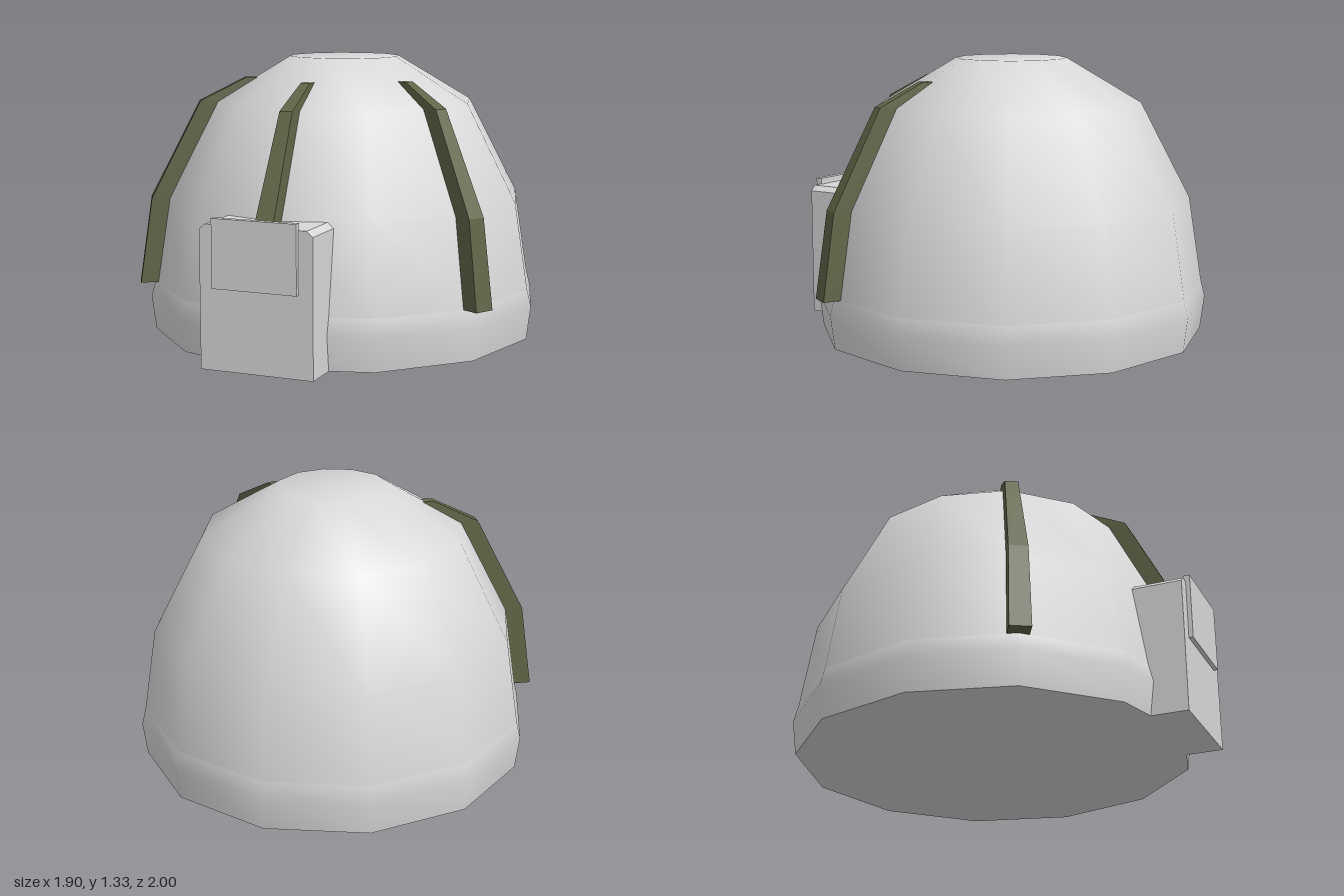
import * as THREE from 'three';

const CENTRE_Z = -0.05;

// Sweeps a four-cornered section through the stations [outer radius, inner radius, y, half width]
function ribGeometry(stations) {
  const pos = [];
  const rings = stations.map(([ro, ri, y, w]) => [[w, y, ro], [-w, y, ro], [-w, y, ri], [w, y, ri]]);
  const quad = (a, b, c, d) => pos.push(...a, ...b, ...c, ...a, ...c, ...d);
  for (let i = 0; i < rings.length - 1; i++) {
    for (let k = 0; k < 4; k++) {
      const n = (k + 1) % 4;
      quad(rings[i][n], rings[i][k], rings[i + 1][k], rings[i + 1][n]);
    }
  }
  const [b, t] = [rings[0], rings[rings.length - 1]];
  quad(b[0], b[1], b[2], b[3]);
  quad(t[3], t[2], t[1], t[0]);
  const geo = new THREE.BufferGeometry();
  geo.setAttribute('position', new THREE.Float32BufferAttribute(pos, 3));
  geo.computeVertexNormals();
  return geo;
}

export function createModel() {
  const model = new THREE.Group();
  model.name = 'domeShelter';
  const shell = new THREE.MeshStandardMaterial({ color: 0xd8d8d8 });
  shell.name = 'paleGrey';
  const olive = new THREE.MeshStandardMaterial({ color: 0x5f6547 });
  olive.name = 'olive';

  const add = (name, geo, mat, x = 0, y = 0, z = 0) => {
    const mesh = new THREE.Mesh(geo, mat);
    mesh.name = name;
    mesh.position.set(x, y, z);
    model.add(mesh);
    return mesh;
  };
  const lathe = (pts) => new THREE.LatheGeometry(pts.map(([r, y]) => new THREE.Vector2(r, y)), 12);

  // Twelve-sided dome, base band and floor
  add('dome', lathe([[0.93, 0.24], [0.865, 0.65], [0.625, 1.11], [0.265, 1.325], [0, 1.325]]), shell, 0, 0, CENTRE_Z);
  add('baseBand', lathe([[0.93, 0], [0.95, 0.16], [0.93, 0.24]]), shell, 0, 0, CENTRE_Z);
  add('floor', new THREE.CircleGeometry(0.93, 12).rotateX(Math.PI / 2), shell, 0, 0, CENTRE_Z);

  // Entrance block with clipped top corners
  const outline = new THREE.Shape([
    [-0.268, 0], [0.268, 0], [0.268, 0.625], [0.24, 0.65], [-0.24, 0.65], [-0.268, 0.625],
  ].map(([x, y]) => new THREE.Vector2(x, y)));
  add('entrance', new THREE.ExtrudeGeometry(outline, { depth: 0.38, bevelEnabled: false }), shell, 0, 0, 0.6);

  // Panel above the entrance
  add('entrancePanel', new THREE.BoxGeometry(0.4, 0.31, 0.03), shell, 0, 0.525, 0.985);

  // Three tapering ribs following the dome
  const rib = ribGeometry([
    [1.0, 0.85, 0.24, 0.049],
    [0.94, 0.79, 0.65, 0.044],
    [0.7, 0.55, 1.115, 0.031],
    [0.48, 0.38, 1.225, 0.023],
  ]);
  [['rightRib', -1], ['frontRib', 0], ['leftRib', 1]].forEach(([name, i]) => {
    add(name, rib, olive, 0, 0, CENTRE_Z).rotation.y = i * Math.PI / 3;
  });

  return model;
}
